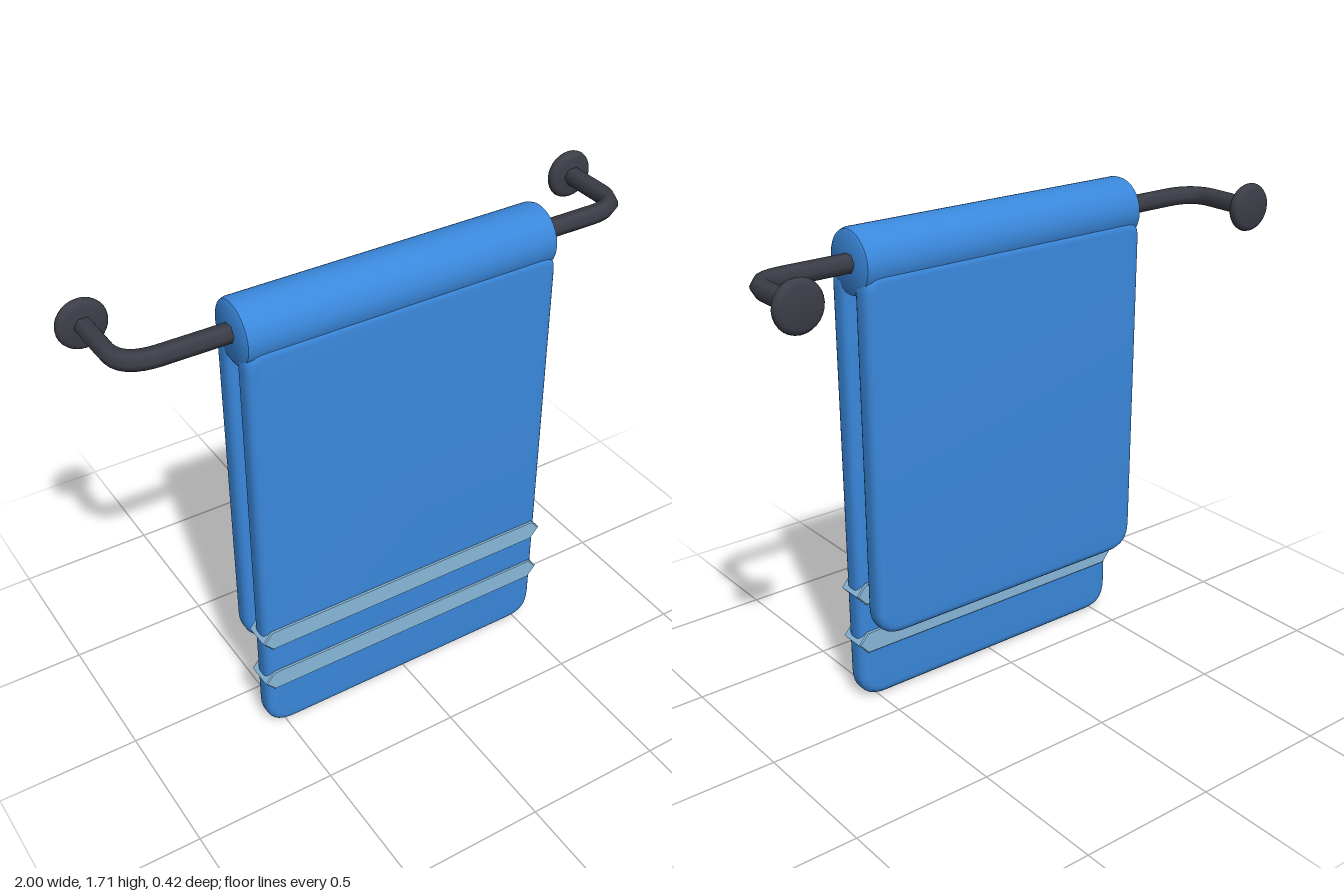
import * as THREE from 'three';
import { toCreasedNormals } from 'three/addons/utils/BufferGeometryUtils.js';

const BAR_Y = 1.605, BAR_Z = 0.09;

export function createModel() {
  const root = new THREE.Group();
  root.name = 'towelOnRail';
  const material = (name, color) => Object.assign(new THREE.MeshStandardMaterial({ color }), { name });
  const towel = material('towelBlue', 0x3a88dc);
  const stripe = material('paleStripe', 0x88b8da);
  const metal = material('darkMetal', 0x3c3e48);

  const add = (name, geometry, mat, x = 0, y = 0, z = 0) => {
    const mesh = new THREE.Mesh(geometry, mat);
    mesh.name = name;
    mesh.position.set(x, y, z);
    root.add(mesh);
    return mesh;
  };

  // Extrudes a shape to a total thickness, centred on z, with a rounded edge
  const slab = (shape, thickness, bevel, segments) => {
    const g = new THREE.ExtrudeGeometry(shape, {
      depth: thickness - 2 * bevel, bevelThickness: bevel, bevelSize: bevel,
      bevelOffset: -bevel, bevelSegments: segments, curveSegments: 8,
    });
    g.translate(0, 0, bevel - thickness / 2);
    return toCreasedNormals(g, 0.7);
  };

  // Hanging cloth panel with larger rounded corners
  const panel = (name, bottom, top, z) => {
    const w = 0.57, r = 0.1, t = 0.07;
    const s = new THREE.Shape();
    s.moveTo(-w + r, bottom);
    s.lineTo(w - r, bottom);
    s.quadraticCurveTo(w, bottom, w, bottom + r);
    s.lineTo(w, top - t);
    s.quadraticCurveTo(w, top, w - t, top);
    s.lineTo(-w + t, top);
    s.quadraticCurveTo(-w, top, -w, top - t);
    s.lineTo(-w, bottom + r);
    s.quadraticCurveTo(-w, bottom, -w + r, bottom);
    add(name, slab(s, 0.088, 0.032, 5), towel, 0, 0, z);
  };
  panel('frontPanel', 0.004, 1.585, 0.16);
  panel('backPanel', 0.31, 1.585, 0.03);

  // Lathe from [radius, height] pairs
  const lathe = (points, segments) => toCreasedNormals(
    new THREE.LatheGeometry(points.map(([r, y]) => new THREE.Vector2(r, y)), segments), 0.7);

  // Fold of cloth over the rail
  const fold = lathe([[0, -0.568], [0.094, -0.568], [0.105, -0.562], [0.11, -0.548],
    [0.11, 0.548], [0.105, 0.562], [0.094, 0.568], [0, 0.568]], 40);
  add('fold', fold, towel, 0, BAR_Y, 0.095).rotation.z = Math.PI / 2;

  // Stripes wrapping the front panel, with pointed ends
  for (const y of [0.427, 0.237]) {
    const s = new THREE.Shape();
    [[-0.58, 0], [-0.545, -0.041], [0.545, -0.041], [0.58, 0], [0.545, 0.041], [-0.545, 0.041]]
      .forEach(([px, py], i) => (i ? s.lineTo(px, py) : s.moveTo(px, py)));
    add('stripe', slab(s, 0.1, 0.004, 1), stripe, 0, y, 0.16);
  }

  // Six-sided rail, bent back to a round wall flange at each end
  const flange = lathe([[0, -0.021], [0.066, -0.021], [0.077, -0.017], [0.083, -0.008], [0.085, 0],
    [0.083, 0.008], [0.077, 0.017], [0.066, 0.021], [0, 0.021]], 28);
  for (const side of [-1, 1]) {
    const p = (x, z) => new THREE.Vector3(side * x, BAR_Y, z);
    const path = new THREE.CurvePath();
    path.add(new THREE.LineCurve3(p(0, BAR_Z), p(0.79, BAR_Z)));
    path.add(new THREE.QuadraticBezierCurve3(p(0.79, BAR_Z), p(0.915, BAR_Z), p(0.915, -0.01)));
    path.add(new THREE.LineCurve3(p(0.915, -0.01), p(0.915, -0.19)));
    const name = side > 0 ? 'left' : 'right';
    add(name + 'Rail', new THREE.TubeGeometry(path, 48, 0.033, 6), metal);
    add(name + 'Flange', flange, metal, side * 0.915, BAR_Y, -0.19).rotation.x = Math.PI / 2;
  }
  return root;
}
